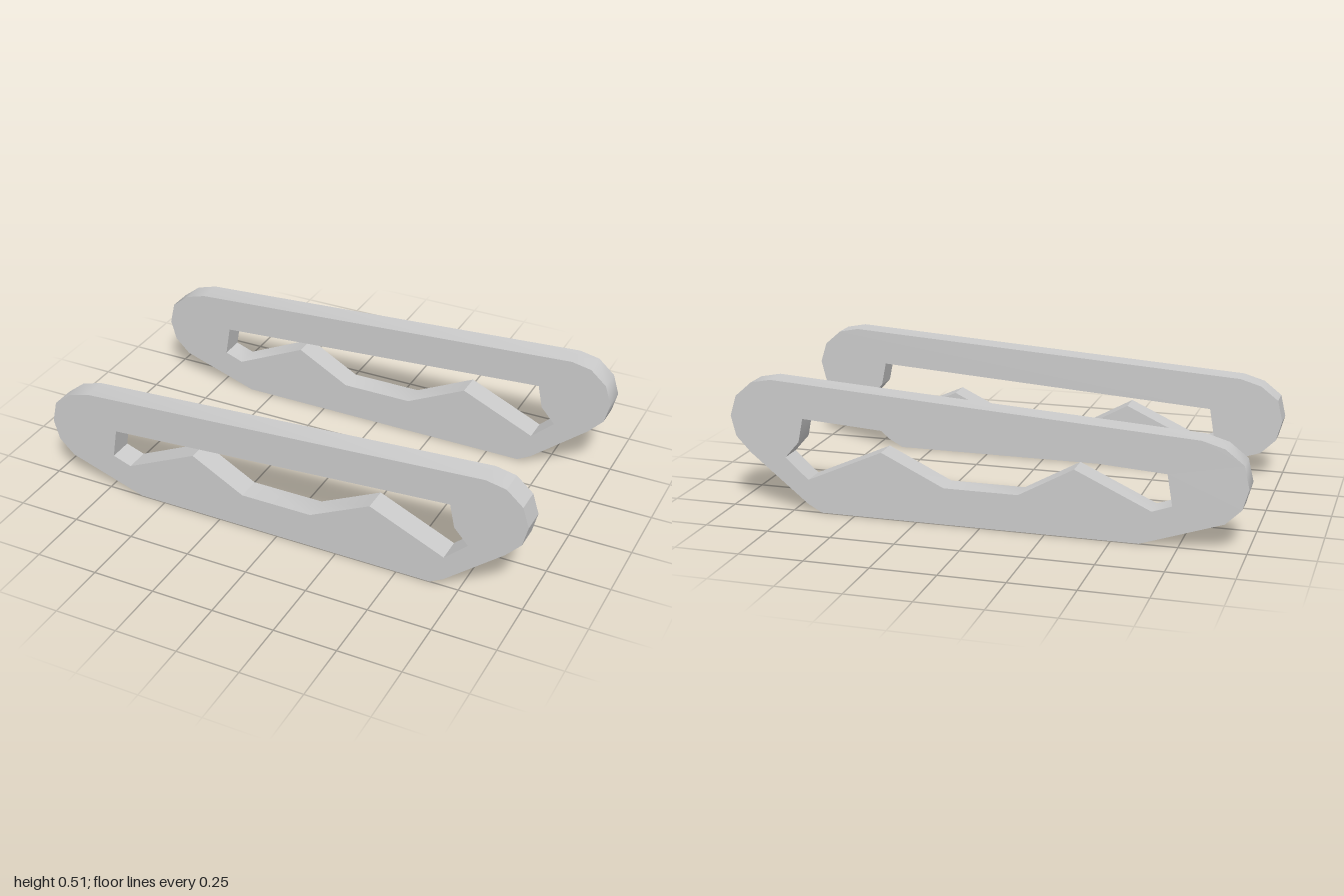
import * as THREE from 'three';
import { toCreasedNormals } from 'three/addons/utils/BufferGeometryUtils.js';

const points = (list) => list.map(([x, y]) => new THREE.Vector2(x, y));

// Outer edge of a track, counter-clockwise from the bottom left
const outline = points([
  [-0.605, 0], [0.635, 0], [0.69, 0.03], [0.92, 0.217], [0.98, 0.28], [1, 0.36],
  [0.975, 0.44], [0.91, 0.497], [0.83, 0.513], [-0.825, 0.41], [-0.91, 0.385],
  [-0.98, 0.33], [-1, 0.243], [-0.977, 0.163], [-0.917, 0.105], [-0.665, 0.02],
]);

// Opening with two peaks along its lower edge
const opening = points([
  [-0.705, 0.275], [0.703, 0.369], [0.722, 0.275], [0.778, 0.211], [0.687, 0.128],
  [0.388, 0.262], [0.142, 0.144], [-0.147, 0.144], [-0.36, 0.262], [-0.65, 0.128],
  [-0.725, 0.155],
]);

const thickness = 0.098;

export function createModel() {
  const group = new THREE.Group();
  const material = new THREE.MeshStandardMaterial({ color: 0xcccccc });

  const shape = new THREE.Shape(outline);
  shape.holes.push(new THREE.Path(opening));

  // One side track; creaseAngle sets how far its rounded ends are smoothed
  const addTrack = (name, z, creaseAngle) => {
    const geometry = new THREE.ExtrudeGeometry(shape, { depth: thickness, bevelEnabled: false });
    geometry.translate(0, 0, -thickness / 2);
    const track = new THREE.Mesh(toCreasedNormals(geometry, creaseAngle), material);
    track.name = name;
    track.position.z = z;
    group.add(track);
  };

  addTrack('frontTrack', 0.451, 0.49);
  addTrack('backTrack', -0.451, 0.8);
  return group;
}
